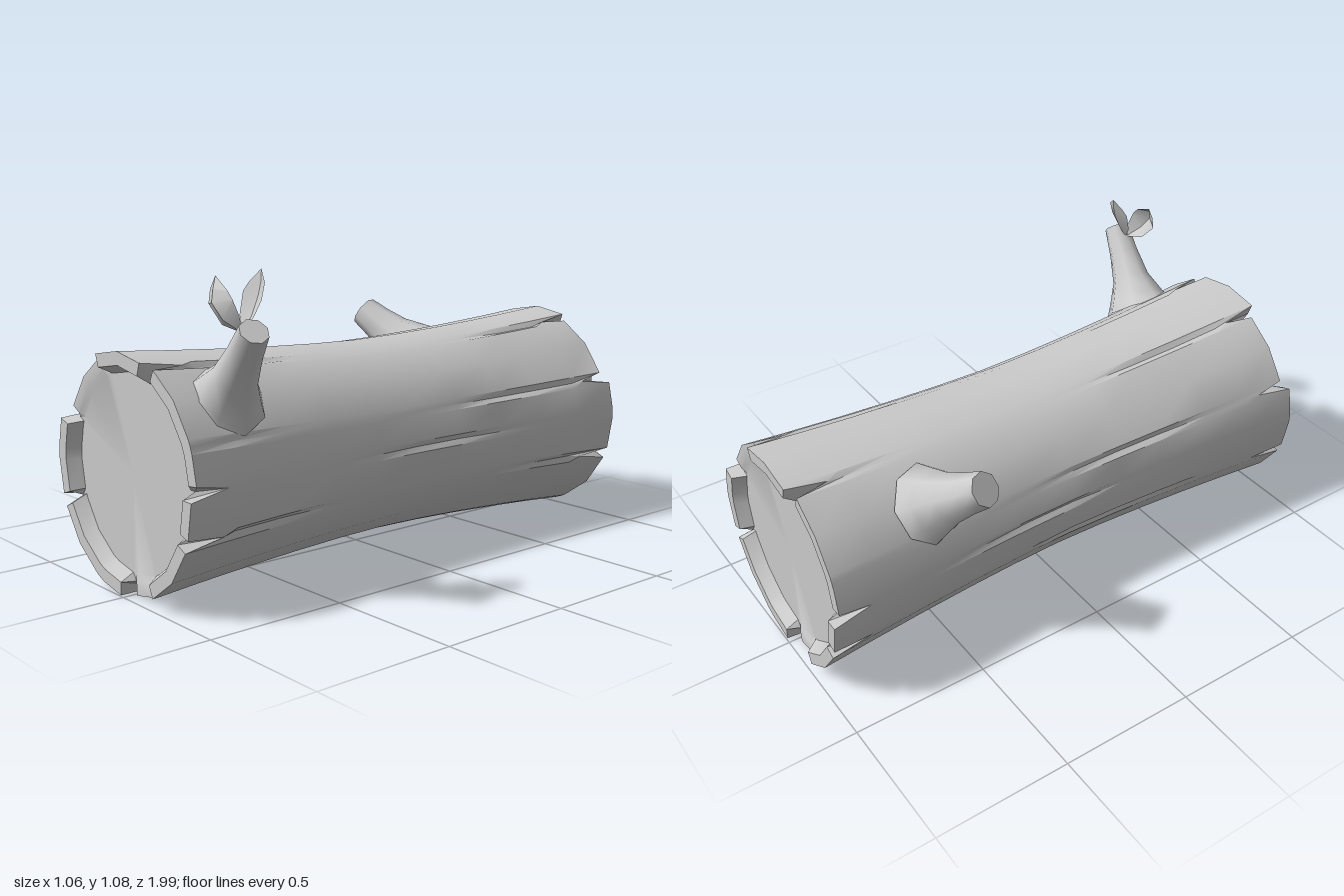
import * as THREE from 'three';
import { toCreasedNormals } from 'three/addons/utils/BufferGeometryUtils.js';

const material = new THREE.MeshStandardMaterial({ color: 0xcccccc });
const thinMaterial = new THREE.MeshStandardMaterial({ color: 0xcccccc, side: THREE.DoubleSide });
const CENTRE_Y = 0.41;

// Angles (degrees) of the bark fissures; each end splits open at some of them.
const FISSURES = [2, 22.5, 67.5, 112.5, 157.5, 178, 202, 248, 270, 292, 338];
const SPLITS = [2, 67.5, 112.5, 157.5, 202, 270, 292, 338];
// Worn rim sections: from angle, to angle, height along the log
const WORN = [[112.5, 157.5, 0.958], [2, 67.5, 0.972], [270, 292, 0.96]];

function mesh(name, geometry, crease, mat = material) {
  const m = new THREE.Mesh(crease ? toCreasedNormals(geometry, crease) : geometry, mat);
  m.name = name;
  return m;
}

function buildGeometry(positions, index) {
  const g = new THREE.BufferGeometry();
  g.setAttribute('position', new THREE.Float32BufferAttribute(positions, 3));
  g.setIndex(index);
  g.computeVertexNormals();
  return g;
}

// How far the bark reaches along the log at a given angle
function rimEnd(angle) {
  const a = (angle + 720) % 360;
  if (SPLITS.some(s => Math.abs(s - a) < 0.1)) return 0.85;
  const worn = WORN.find(([from, to]) => a > from && a < to);
  return worn ? worn[2] : 0.995;
}

// The trunk narrows towards its middle
const trunkRadius = z => 0.353 + 0.053 * Math.pow(Math.abs(z), 1.6);

function trunk() {
  const columns = [45, 90, 135, 225, 315].map(angle => ({ angle, fissure: false }));
  for (const a of FISSURES) {
    columns.push({ angle: a - 3.2, fissure: false }, { angle: a, fissure: true }, { angle: a + 3.2, fissure: false });
  }
  columns.sort((p, q) => p.angle - q.angle);

  const discZ = 0.948, rows = [0.8, 0.6, 0.4, 0.2, 0, -0.2, -0.4, -0.6, -0.8];
  const positions = [], index = [];
  let count = 0;
  columns.forEach(({ angle, fissure }) => {
    const front = rimEnd(angle), back = rimEnd(180 - angle);
    // Profile: front disc, rim, bark, rim, back disc
    const bark = z => {
      const depth = fissure ? 0.002 + 0.012 * Math.max(0, Math.sin(4 * z + angle)) : 0;
      return [trunkRadius(z) - (Math.abs(z) > 0.84 ? 0 : depth), z];
    };
    const profile = [
      [0, discZ], [0.335, discZ], [0.36, Math.max(front, discZ)], bark(front),
      ...rows.map(bark),
      bark(-back), [0.36, -Math.max(back, discZ)], [0.335, -discZ], [0, -discZ],
    ];
    const t = THREE.MathUtils.degToRad(angle);
    for (const [r, z] of profile) positions.push(r * Math.cos(t), CENTRE_Y + r * Math.sin(t), z);
    count = profile.length;
  });
  columns.forEach((_, i) => {
    const a = i * count, b = ((i + 1) % columns.length) * count;
    for (let j = 0; j < count - 1; j++) {
      if (j < count - 2) index.push(a + j, a + j + 1, b + j + 1);
      if (j > 0) index.push(a + j, b + j + 1, b + j);
    }
  });
  return mesh('trunk', buildGeometry(positions, index), 0.5);
}

// Tapered stub from base to tip; profile holds [radius, fraction of length]
function branch(name, base, tip, profile) {
  const from = new THREE.Vector3(...base), axis = new THREE.Vector3(...tip).sub(from);
  const length = axis.length();
  const points = profile.map(([r, h]) => new THREE.Vector2(r, h * length));
  points.push(new THREE.Vector2(0, length));
  const m = mesh(name, new THREE.LatheGeometry(points, 8), 0.85);
  m.quaternion.setFromUnitVectors(new THREE.Vector3(0, 1, 0), axis.normalize());
  m.position.copy(from);
  return m;
}

// Folded leaf: base point, rows of [left, middle, right], tip point
function leaf(name, base, rows, tip) {
  const positions = [...base, ...rows.flat(2), ...tip];
  const index = [0, 2, 1, 0, 3, 2];
  const last = rows.length * 3 + 1;
  for (let r = 0; r < rows.length - 1; r++) {
    for (let k = 1; k < 3; k++) {
      const a = r * 3 + k;
      index.push(a, a + 1, a + 4, a, a + 4, a + 3);
    }
  }
  index.push(last - 3, last - 2, last, last - 2, last - 1, last);
  return mesh(name, buildGeometry(positions, index), 0.5, thinMaterial);
}

export function createModel() {
  const group = new THREE.Group();
  group.name = 'log';
  group.add(trunk());

  group.add(branch('rightBranch', [-0.27, 0.625, -0.56], [-0.493, 0.793, -0.47],
    [[0.14, 0], [0.115, 0.2], [0.085, 0.45], [0.068, 0.75], [0.06, 1]]));
  group.add(branch('leftBranch', [0.26, 0.66, 0.765], [0.495, 0.912, 0.82],
    [[0.135, 0], [0.11, 0.14], [0.073, 0.38], [0.056, 0.7], [0.048, 1]]));

  // Two leaves sprouting near the tip of the left branch
  const stem = [0.43, 0.9, 0.815];
  group.add(leaf('frontLeaf', stem, [
    [[0.36, 0.92, 0.84], [0.40, 0.94, 0.865], [0.437, 0.95, 0.83]],
    [[0.305, 0.98, 0.85], [0.365, 0.99, 0.88], [0.425, 1.0, 0.845]],
    [[0.308, 1.025, 0.845], [0.352, 1.03, 0.865], [0.40, 1.025, 0.845]],
  ], [0.315, 1.065, 0.83]));
  group.add(leaf('backLeaf', stem, [
    [[0.395, 0.95, 0.80], [0.435, 0.95, 0.785], [0.473, 0.95, 0.805]],
    [[0.38, 1.02, 0.775], [0.43, 1.01, 0.755], [0.48, 1.0, 0.78]],
    [[0.393, 1.05, 0.76], [0.43, 1.05, 0.745], [0.47, 1.05, 0.76]],
  ], [0.42, 1.087, 0.735]));
  return group;
}
